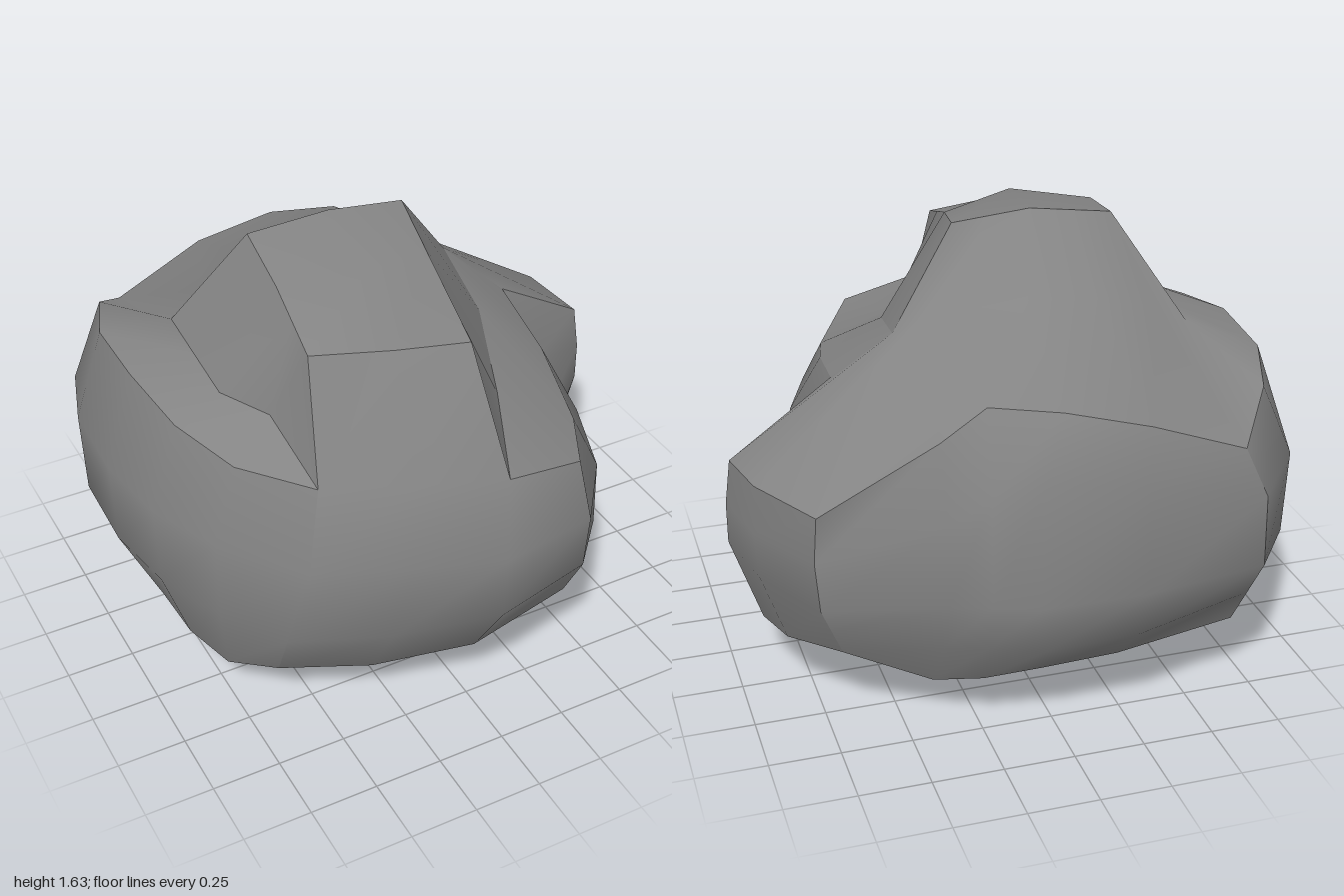
import * as THREE from 'three';
import { mergeVertices } from 'three/addons/utils/BufferGeometryUtils.js';

// Smooth surface from strips of columns; each column runs top to bottom,
// columns run left to right as seen from outside.
function surface(...grids) {
  const pos = [];
  for (const cols of grids) {
    for (let i = 0; i < cols.length - 1; i++) {
      for (let j = 0; j < cols[i].length - 1; j++) {
        const a = cols[i][j], b = cols[i][j + 1];
        const c = cols[i + 1][j + 1], d = cols[i + 1][j];
        pos.push(...a, ...b, ...d, ...b, ...c, ...d);
      }
    }
  }
  const raw = new THREE.BufferGeometry();
  raw.setAttribute('position', new THREE.Float32BufferAttribute(pos, 3));
  const geo = mergeVertices(raw, 1e-4);
  geo.computeVertexNormals();
  return geo;
}

const zip = (upper, lower) => upper.map((p, i) => [p, lower[i]]);
const tops = (cols) => cols.map((c) => c[0]);

export function createModel() {
  const group = new THREE.Group();
  const stone = new THREE.MeshStandardMaterial({ color: 0x848484 });
  stone.name = 'stone grey';
  const add = (name, geo) => {
    const mesh = new THREE.Mesh(geo, stone);
    mesh.name = name;
    group.add(mesh);
  };

  // Front wall, rising into the front of the summit
  const f0 = [[-.48, 1.47, .49], [-.54, 1.08, .67], [-.61, .8, .74], [-.68, .5, .7], [-.65, .24, .55]];
  const f1 = [[-.22, 1.47, .59], [-.26, 1.1, .82], [-.3, .8, .87], [-.35, .5, .84], [-.35, .23, .68]];
  const f2 = [[.05, 1.43, .61], [.04, 1.07, .9], [0, .8, .98], [0, .55, .965], [0, .27, .79]];
  const f3 = [[.34, 1.01, .86], [.36, .8, .92], [.36, .58, .9], [.35, .4, .81]];
  add('frontWall', surface([f0, f1, f2], [f2.slice(1), f3]));

  // Wall under the ledge
  const notch = [[.6, 1.09, -.08], [.68, .8, .04], [.69, .53, .1], [.57, .25, .2]];
  const ledgeWall = [
    f3,
    [[.5, .95, .58], [.56, .78, .66], [.56, .53, .67], [.47, .33, .53]],
    [[.57, 1.03, .25], [.67, .79, .36], [.67, .53, .44], [.53, .28, .36]],
    notch,
  ];
  add('ledgeWall', surface(ledgeWall));

  // Step out to the shoulder
  const shoulder = [[.98, .85, -.14], [1, .68, -.13], [1, .53, -.13], [.89, .2, -.12]];
  add('notchWall', surface([notch, shoulder]));

  // Outer side of the shoulder
  const backRight = [[.79, .87, -.69], [.8, .7, -.68], [.78, .5, -.65], [.7, .3, -.6]];
  const shoulderWall = [
    shoulder,
    [[.94, .87, -.4], [.95, .7, -.41], [.94, .53, -.41], [.85, .26, -.38]],
    backRight,
  ];
  add('shoulderWall', surface(shoulderWall));

  // Back wall, with one extra row near its lower edge
  const backLeft = [[-.64, .99, -.84], [-.71, .82, -.88], [-.72, .55, -.87], [-.66, .29, -.76]];
  const backWall = [
    [...backRight.slice(0, 3), [.74, .4, -.625], backRight[3]],
    [[.38, 1.09, -.71], [.39, .85, -.83], [.39, .55, -.83], [.39, .36, -.77], [.4, .17, -.66]],
    [[.23, 1.21, -.74], [.26, .95, -.89], [.26, .57, -.91], [.26, .38, -.85], [.25, .21, -.76]],
    [[0, 1.2, -.83], [.09, 1, -.93], [.12, .58, -.98], [.08, .38, -.92], [.05, .24, -.8]],
    [[-.29, 1.13, -.87], [-.26, .95, -.94], [-.26, .58, -.985], [-.25, .39, -.92], [-.22, .25, -.8]],
    [...backLeft.slice(0, 3), [-.69, .42, -.815], backLeft[3]],
  ];
  add('backWall', surface(backWall));

  // Rounded side wall
  const sideWall = [
    backLeft,
    [[-.78, 1.12, -.65], [-.91, .84, -.63], [-.9, .53, -.62], [-.7, .19, -.53]],
    [[-.87, 1.16, -.4], [-.99, .84, -.38], [-.98, .52, -.38], [-.82, .19, -.3]],
    [[-.88, 1.18, -.08], [-1, .84, -.05], [-.99, .52, -.05], [-.84, .19, -.05]],
    [[-.84, 1.14, .21], [-.95, .83, .23], [-.94, .52, .23], [-.83, .19, .18]],
    [[-.74, 1.1, .46], [-.83, .82, .48], [-.83, .51, .48], [-.77, .18, .38]],
    f0.slice(1),
  ];
  add('sideWall', surface(sideWall));

  // Underside, drawn in from the lower rim to a blunt bottom
  const rim = [f0, f1, f2, ...ledgeWall, ...shoulderWall, ...backWall.slice(1), ...sideWall.slice(1)]
    .map((c) => c[c.length - 1]);
  const base = [-.1, 0, -.04];
  const inward = (p, t, k) => [p[0] + (base[0] - p[0]) * t, p[1] * k, p[2] + (base[2] - p[2]) * t];
  add('underside', surface(rim.map((p) => [p, inward(p, .22, .65), inward(p, .52, .26), base])));

  // Foot of the summit, where it meets the back slope and the ledge
  const footRight = [.4, 1.27, -.18], footLeft = [-.65, 1.23, -.26];
  const b1 = [.29, 1.34, -.22], b2 = [-.05, 1.38, -.29], b3 = [-.3, 1.37, -.29], b4 = [-.52, 1.3, -.28];
  const s1 = [-.66, 1.22, -.03], s2 = [-.67, 1.21, .2], s3 = [-.57, 1.2, .38];
  const r1 = [.23, 1.1, .5], r2 = [.36, 1.2, .15];

  // Slope around the summit, running smoothly up the summit's back
  const capLeft = [-.42, 1.6, -.09], capMid = [-.13, 1.63, -.06], capRight = [.15, 1.6, -.05];
  const slopeRim = [notch[0], ...tops(shoulderWall), ...tops(backWall.slice(1)), ...tops(sideWall.slice(1))];
  const slopeInner = [footRight, footRight, footRight, b1, b1, b1, b2, b3, b4,
    footLeft, footLeft, s1, s2, s3, f0[1]];
  const summitBack = zip(
    [capRight, [.01, 1.615, -.055], capMid, [-.275, 1.615, -.075], capLeft, capLeft],
    [footRight, b1, b2, b3, b4, footLeft]);
  add('backSlope', surface(zip(slopeInner, slopeRim), summitBack));

  // Ledge
  add('ledge', surface(zip([f2[1], f2[1], r1, r2, footRight], [f2[1], ...tops(ledgeWall)])));

  // Summit: cap and two cut sides
  const midLeft = [-.45, 1.56, .2], midRight = [.1, 1.55, .22];
  add('summitCap', surface([
    [capLeft, midLeft, f0[0]],
    [capMid, [-.17, 1.59, .3], f1[0]],
    [capRight, midRight, f2[0]],
  ]));
  add('summitRightSide', surface(zip(
    [f2[0], [.075, 1.49, .415], midRight, capRight],
    [f2[1], r1, r2, footRight])));
  add('summitLeftSide', surface(zip(
    [capLeft, midLeft, [-.465, 1.515, .345], f0[0]],
    [footLeft, s2, s3, f0[1]])));

  return group;
}
